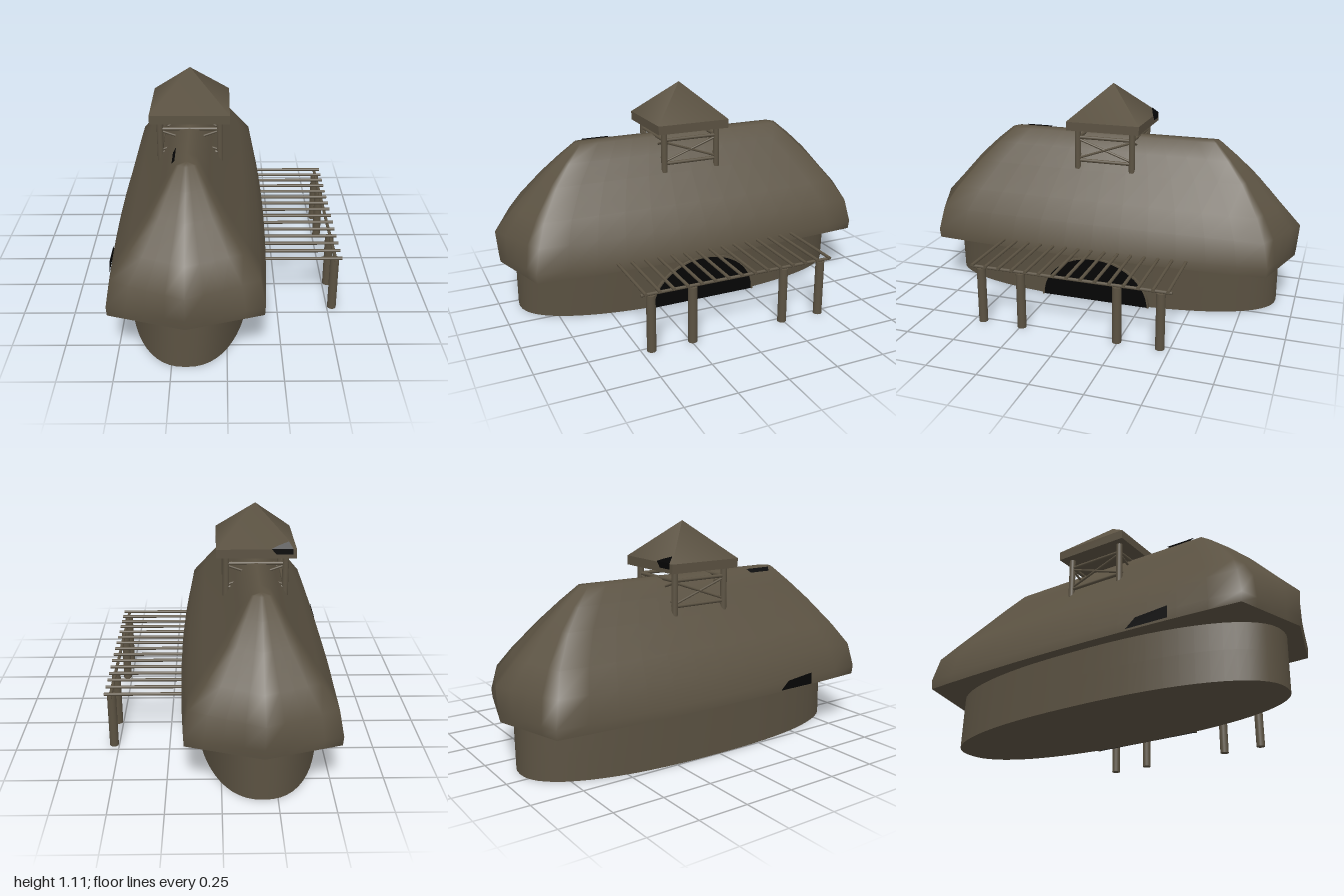
import * as THREE from 'three';

const CX = -0.18; // centre line of the house
const thatch = new THREE.MeshStandardMaterial({ name: 'olive brown', color: 0x5b5242 });
const dark = new THREE.MeshStandardMaterial({ name: 'opening black', color: 0x050505, side: THREE.DoubleSide });

function add(parent, name, geometry, material = thatch) {
  const m = new THREE.Mesh(geometry, material);
  m.name = name;
  parent.add(m);
  return m;
}

function indexed(points, index) {
  const g = new THREE.BufferGeometry();
  g.setAttribute('position', new THREE.Float32BufferAttribute(points.flat(), 3));
  g.setIndex(index);
  g.computeVertexNormals();
  return g;
}

// Skin over stacked rings of equal length, each running +z, +x, -z, -x
function loft(rings) {
  const n = rings[0].length, index = [];
  for (let l = 0; l < rings.length - 1; l++) {
    for (let i = 0; i < n; i++) {
      const a = l * n + i, b = l * n + (i + 1) % n;
      index.push(a, b, b + n, a, b + n, a + n);
    }
  }
  return indexed(rings.flat(), index);
}

// Flat lid facing down under one ring
function underside(ring) {
  const n = ring.length, index = [];
  for (let i = 0; i < n; i++) index.push(n, (i + 1) % n, i);
  return indexed([...ring, [CX, ring[0][1], 0]], index);
}

// Round bar between two points
function bar(parent, name, a, b, r, sides = 10) {
  const p = new THREE.Vector3(...a), q = new THREE.Vector3(...b), d = q.clone().sub(p);
  const m = add(parent, name, new THREE.CylinderGeometry(r, r, d.length(), sides));
  m.position.copy(p).add(q).multiplyScalar(0.5);
  m.quaternion.setFromUnitVectors(new THREE.Vector3(0, 1, 0), d.normalize());
}

// Six-sided roof plan with pointed ends and gently bowed long sides
function roofRing([y, tipZ, cornerX, cornerZ, midX]) {
  const half = [];
  for (let i = 0; i < 4; i++) {
    const t = i / 4;
    half.push([cornerX * t, tipZ + (cornerZ - tipZ) * t]);
  }
  for (let i = 0; i <= 12; i++) {
    const s = 1 - i / 6;
    half.push([midX + (cornerX - midX) * s * s, cornerZ * s]);
  }
  for (let i = 3; i > 0; i--) half.push([cornerX * i / 4, -(tipZ + (cornerZ - tipZ) * i / 4)]);
  return [...half, ...half.map(([x, z]) => [-x, -z])].map(([x, z]) => [CX + x, y, z]);
}

// Rounded oval wall plan
function wallRing(y, cx, hx, hz) {
  return Array.from({ length: 64 }, (_, i) => {
    const a = i / 64 * Math.PI * 2, s = Math.sin(a), c = Math.cos(a), e = 2 / 2.3;
    return [cx + hx * Math.sign(s) * Math.abs(s) ** e, y, hz * Math.sign(c) * Math.abs(c) ** e];
  });
}

// Points along a half-ellipse arch, left foot to right foot
const arch = (w, h) => Array.from({ length: 33 }, (_, i) => {
  const a = Math.PI * (1 - i / 32);
  return new THREE.Vector2(w * Math.cos(a), h * Math.sin(a));
});

export function createModel() {
  const model = new THREE.Group();
  model.name = 'thatchedLonghouse';

  // Walls
  const walls = [wallRing(0, -0.185, 0.315, 0.905), wallRing(0.14, -0.18, 0.32, 0.905), wallRing(0.28, -0.175, 0.325, 0.905)];
  add(model, 'walls', loft(walls));
  add(model, 'floor', underside(walls[0]));

  // Main roof: height, end point z, corner x, corner z, middle x
  const roof = [
    [0.265, 0.985, 0.345, 0.88, 0.378],
    [0.31, 0.99, 0.347, 0.885, 0.376],
    [0.43, 1.0, 0.325, 0.86, 0.336],
    [0.53, 0.905, 0.25, 0.81, 0.264],
    [0.665, 0.78, 0.155, 0.715, 0.163],
    [0.76, 0.675, 0.095, 0.63, 0.1],
    [0.836, 0.58, 0.045, 0.555, 0.047],
    [0.842, 0.55, 0, 0.53, 0],
  ].map(roofRing);
  add(model, 'roof', loft(roof));
  add(model, 'eavesUnderside', underside(roof[0]));

  // Arched doorway on the left side, leaning with the wall
  const entrance = new THREE.Group();
  entrance.name = 'entrance';
  entrance.position.x = 0.133;
  entrance.rotation.set(0.072, Math.PI / 2, 0, 'YXZ');
  model.add(entrance);
  const inner = arch(0.285, 0.24);
  add(entrance, 'doorway', new THREE.ShapeGeometry(new THREE.Shape(inner)), dark);
  const rim = new THREE.Shape([...arch(0.293, 0.248), ...inner.slice().reverse()]);
  add(entrance, 'doorFrame', new THREE.ExtrudeGeometry(rim, { depth: 0.036, bevelEnabled: false })).position.z = -0.03;

  // Small dark gaps in the roofs
  const gaps = {
    towerEavesGap: [[-0.355, 0.9, -0.198], [-0.275, 0.9, -0.198], [-0.25, 0.929, -0.198], [-0.355, 0.929, -0.198]],
    towerRoofGap: [[-0.355, 0.929, -0.198], [-0.25, 0.929, -0.198], [-0.29, 0.944, -0.182], [-0.335, 0.957, -0.168]],
    ridgeGap: [[-0.234, 0.839, 0.37], [-0.234, 0.839, 0.52], [-0.248, 0.82, 0.51], [-0.248, 0.82, 0.39]],
    eavesGap: [[-0.558, 0.272, 0.34], [-0.555, 0.272, 0.55], [-0.552, 0.33, 0.55], [-0.556, 0.315, 0.39]],
  };
  for (const [name, corners] of Object.entries(gaps)) add(model, name, indexed(corners, [0, 1, 2, 0, 2, 3]), dark);

  // Pergola
  const pergola = new THREE.Group();
  pergola.name = 'pergola';
  model.add(pergola);
  for (let i = -7; i <= 7; i++) bar(pergola, 'pergolaRafter', [0.1, 0.305, i * 0.07 - 0.003], [0.555, 0.305, i * 0.07 - 0.003], 0.008);
  bar(pergola, 'pergolaBeam', [0.527, 0.291, -0.508], [0.527, 0.291, 0.502], 0.008);
  for (const z of [-0.455, -0.245, 0.243, 0.452]) bar(pergola, 'pergolaPost', [0.525, 0, z], [0.525, 0.285, z], 0.022, 16);

  // Lookout tower on the ridge
  const tower = new THREE.Group();
  tower.name = 'tower';
  tower.position.x = CX + 0.002;
  model.add(tower);
  const h = 0.147;
  for (let k = 0; k < 4; k++) {
    const side = new THREE.Group();
    side.name = 'towerSide';
    side.rotation.y = k * Math.PI / 2;
    tower.add(side);
    bar(side, 'towerPost', [h, 0.67, h], [h, 0.885, h], 0.016, 14);
    bar(side, 'topRail', [-h, 0.838, h], [h, 0.838, h], 0.009);
    bar(side, 'bottomRail', [-h, 0.715, h], [h, 0.715, h], 0.009);
    for (const s of [-1, 1]) bar(side, 'crossBrace', [-h, 0.777 - s * 0.052, h], [h, 0.777 + s * 0.052, h], 0.006);
  }
  add(tower, 'towerEaves', new THREE.BoxGeometry(0.39, 0.045, 0.39)).position.y = 0.9025;
  const spire = new THREE.ConeGeometry(0.195 * Math.SQRT2, 0.18, 4, 1, true).rotateY(Math.PI / 4);
  add(tower, 'towerRoof', spire).position.y = 1.015;

  return model;
}
